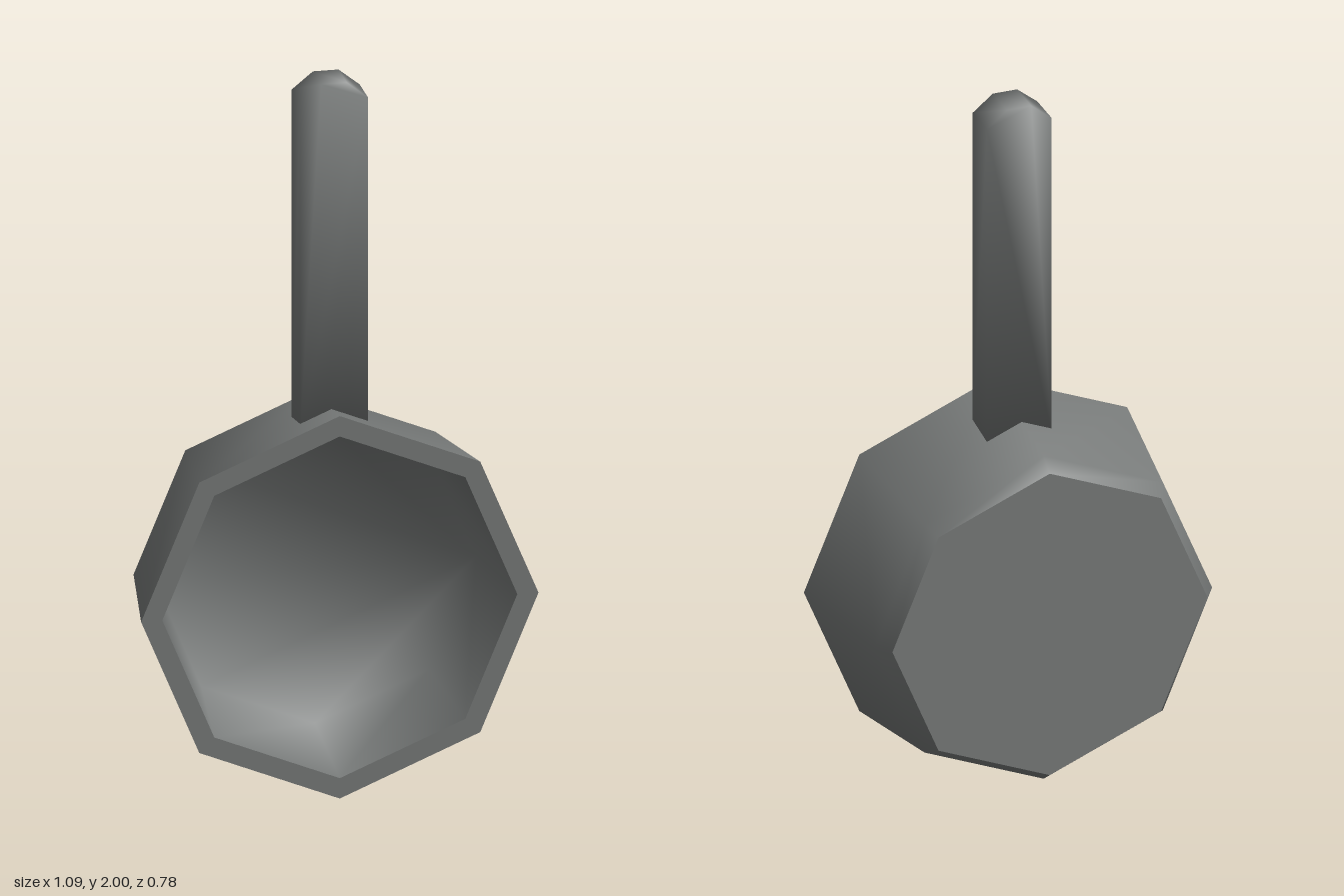
import * as THREE from 'three';
import { mergeVertices } from 'three/addons/utils/BufferGeometryUtils.js';

const SIDES = 8;

// Smooth normals weighted by corner angle, so small faces still bend the shading.
function smoothNormals(g) {
  const p = g.attributes.position, idx = g.index.array;
  const sums = Array.from({ length: p.count }, () => new THREE.Vector3());
  for (let t = 0; t < idx.length; t += 3) {
    const v = [0, 1, 2].map(k => new THREE.Vector3().fromBufferAttribute(p, idx[t + k]));
    const n = new THREE.Triangle(...v).getNormal(new THREE.Vector3());
    for (let k = 0; k < 3; k++) {
      const a = v[(k + 1) % 3].clone().sub(v[k]), b = v[(k + 2) % 3].clone().sub(v[k]);
      sums[idx[t + k]].addScaledVector(n, a.angleTo(b));
    }
  }
  const flat = sums.flatMap(s => s.normalize().toArray());
  g.setAttribute('normal', new THREE.Float32BufferAttribute(flat, 3));
  return g;
}

// Smooth octagonal skin through rings given as [radius, z]; an optional cap closes the last ring.
function loft(rings, cap = false) {
  const pos = [], idx = [];
  for (const [r, z] of rings)
    for (let i = 0; i < SIDES; i++) {
      const a = (i / SIDES) * Math.PI * 2;
      pos.push(r * Math.cos(a), r * Math.sin(a), z);
    }
  for (let k = 0; k < rings.length - 1; k++)
    for (let i = 0; i < SIDES; i++) {
      const a = k * SIDES + i, a1 = k * SIDES + (i + 1) % SIDES;
      idx.push(a, a1, a1 + SIDES, a, a1 + SIDES, a + SIDES);
    }
  const last = (rings.length - 1) * SIDES;
  if (cap) for (let i = 1; i < SIDES - 1; i++) idx.push(last, last + i, last + i + 1);
  const g = new THREE.BufferGeometry();
  g.setAttribute('position', new THREE.Float32BufferAttribute(pos, 3));
  g.setIndex(idx);
  return smoothNormals(g);
}

export function createModel() {
  const iron = new THREE.MeshStandardMaterial({ color: 0x787b7a });
  iron.name = 'iron grey';

  const model = new THREE.Group();
  model.name = 'saucepan';
  const add = (parent, name, geometry) => {
    const m = new THREE.Mesh(geometry, iron);
    m.name = name;
    parent.add(m);
    return m;
  };

  // Pan standing on its side, opening towards local +z
  const pan = new THREE.Group();
  pan.name = 'pan';
  pan.position.y = 0.547;
  model.add(pan);
  add(pan, 'outerWall', loft([[0.452, -0.415], [0.484, -0.37], [0.544, 0]]));
  add(pan, 'rim', loft([[0.544, 0], [0.486, 0]]));
  add(pan, 'inside', loft([[0.486, 0], [0.44, -0.312]], true));
  const base = add(pan, 'base', new THREE.CircleGeometry(0.452, SIDES));
  base.rotation.y = Math.PI;
  base.position.z = -0.415;

  // Flat handle with a chamfered end and a foot arched over the wall
  const half = [[0.035, 1.035], [0.093, 1.005], [0.093, 1.953], [0.035, 2.0]];
  const outline = [...half, ...half.map(([x, y]) => [-x, y]).reverse()];
  const shape = new THREE.Shape(outline.map(([x, y]) => new THREE.Vector2(x, y)));
  let handle = new THREE.ExtrudeGeometry(shape, { depth: 0.105, bevelEnabled: false });
  handle.deleteAttribute('normal');
  handle.deleteAttribute('uv');
  handle = smoothNormals(mergeVertices(handle));
  add(model, 'handle', handle).position.set(0.007, 0, -0.209);

  // Turn the pan slightly to its left
  model.rotation.y = THREE.MathUtils.degToRad(24);
  model.position.set(0.045, 0, 0.17);
  const root = new THREE.Group();
  root.name = 'hangingSaucepan';
  root.add(model);
  return root;
}
